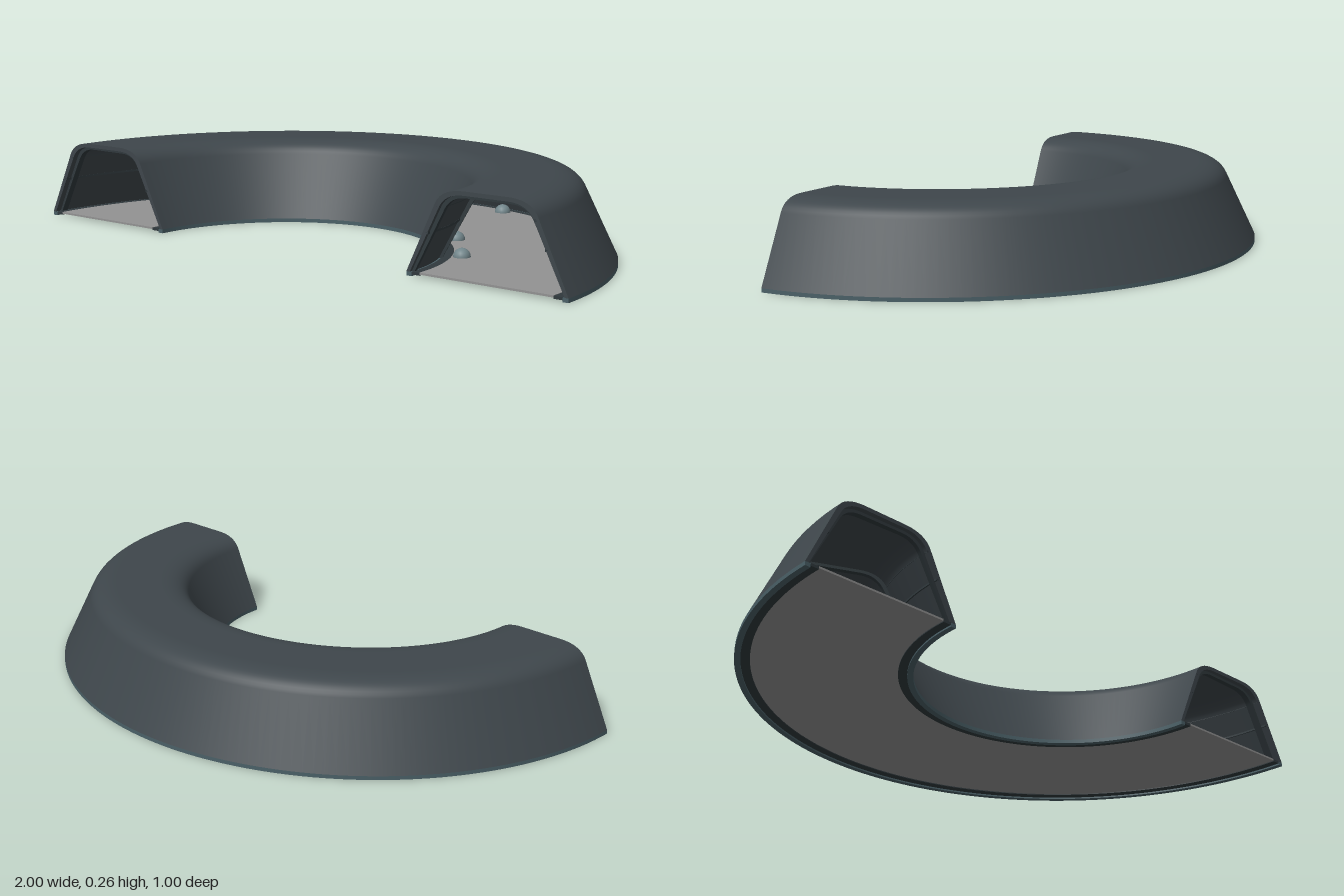
import * as THREE from 'three';

const mat = (name, color, side = THREE.FrontSide) => {
  const m = new THREE.MeshStandardMaterial({ color, side });
  m.name = name;
  return m;
};

const CENTRE = 0.74; // radius of the tunnel's centre line
const START = Math.PI / 2; // the half ring sweeps round the back

// Arched cross-section, inset by d, from the outer foot over the top to the inner foot
function archPoints(d) {
  const foot = 0.26 - d, y0 = 0.012, shoulder = 0.165 - d, top = 0.256 - d;
  const side = new THREE.Path();
  side.moveTo(foot, y0);
  side.lineTo(shoulder, top - 0.044);
  side.quadraticCurveTo(0.145 - d, top, 0.07, top);
  const half = side.getPoints(10);
  const outer = half.map(p => new THREE.Vector2(CENTRE + p.x, p.y));
  const inner = half.map(p => new THREE.Vector2(CENTRE - p.x, p.y)).reverse();
  return [...outer, ...inner];
}

export function createModel() {
  const root = new THREE.Group();
  root.name = 'curvedTunnel';
  const ring = new THREE.Group();
  ring.name = 'halfRing';
  ring.position.z = 0.5;
  root.add(ring);

  const shellMat = mat('charcoal shell', 0x3e464b, THREE.DoubleSide);
  const trimMat = mat('blue grey trim', 0x4a6067, THREE.DoubleSide);
  const frameMat = mat('dark frame', 0x30393d, THREE.DoubleSide);
  const floorMat = mat('grey floor', 0x929292, THREE.DoubleSide);
  const lampMat = mat('lamp grey', 0x71858a);

  const add = (parent, name, geometry, material) => {
    const mesh = new THREE.Mesh(geometry, material);
    mesh.name = name;
    parent.add(mesh);
    return mesh;
  };

  // Arched band between two insets, closed at both ends
  function arch(name, d0, d1, phi, sweep, segments, material) {
    const group = new THREE.Group();
    group.name = name;
    const outside = archPoints(d0), inside = archPoints(d1).reverse();
    add(group, name + 'Outside', new THREE.LatheGeometry(outside, segments, phi, sweep), material);
    add(group, name + 'Inside', new THREE.LatheGeometry(inside, segments, phi, sweep), material);
    const section = new THREE.Shape([...outside, ...inside]);
    for (const a of [phi, phi + sweep]) {
      add(group, name + 'End', new THREE.ShapeGeometry(section).rotateY(a - Math.PI / 2), material);
    }
    ring.add(group);
  }

  // Rectangular strip swept round the half ring, flat on every face
  function strip(name, r0, r1, y0, y1, material) {
    const group = new THREE.Group();
    group.name = name;
    const c = [[r0, y0], [r1, y0], [r1, y1], [r0, y1]].map(p => new THREE.Vector2(...p));
    c.forEach((p, i) => add(group, name + 'Face',
      new THREE.LatheGeometry([p, c[(i + 1) % 4]], 96, START, Math.PI), material));
    for (const a of [START, START + Math.PI]) {
      add(group, name + 'End', new THREE.ShapeGeometry(new THREE.Shape(c)).rotateY(a - Math.PI / 2), material);
    }
    ring.add(group);
  }

  // Outer shell and floor
  arch('shell', 0, 0.012, START, Math.PI, 96, shellMat);
  strip('floor', 0.525, 0.955, 0.008, 0.014, floorMat);

  // Foot rails with a recessed dark channel beside the floor
  strip('outerFootRail', 0.982, 1.0, 0, 0.012, trimMat);
  strip('innerFootRail', 0.48, 0.498, 0, 0.012, trimMat);
  strip('outerChannel', 0.955, 0.982, 0.005, 0.013, frameMat);
  strip('innerChannel', 0.498, 0.525, 0.005, 0.013, frameMat);

  // Inside ribs
  const ribs = 8, ribSweep = 0.022;
  for (let i = 0; i <= ribs; i++) {
    const phi = START + 0.02 + (Math.PI - 0.04 - ribSweep) * i / ribs;
    arch('rib', 0.011, 0.021, phi, ribSweep, 2, frameMat);
  }

  // Slim rails along both inside walls
  for (const [y, reach] of [[0.125, 0.187], [0.2, 0.152]]) {
    strip('outerWallRail', CENTRE + reach, CENTRE + reach + 0.008, y, y + 0.006, frameMat);
    strip('innerWallRail', CENTRE - reach - 0.008, CENTRE - reach, y, y + 0.006, frameMat);
  }

  // Low rounded lamps at the foot of both walls
  const lampGeometry = new THREE.SphereGeometry(0.026, 16, 8, 0, Math.PI * 2, 0, Math.PI / 2);
  for (let i = 1; i < 7; i++) {
    const phi = START + Math.PI * i / 7;
    for (const r of [0.925, 0.555]) {
      const lamp = add(ring, 'lamp', lampGeometry, lampMat);
      lamp.position.set(r * Math.sin(phi), 0.014, r * Math.cos(phi));
    }
  }

  return root;
}
